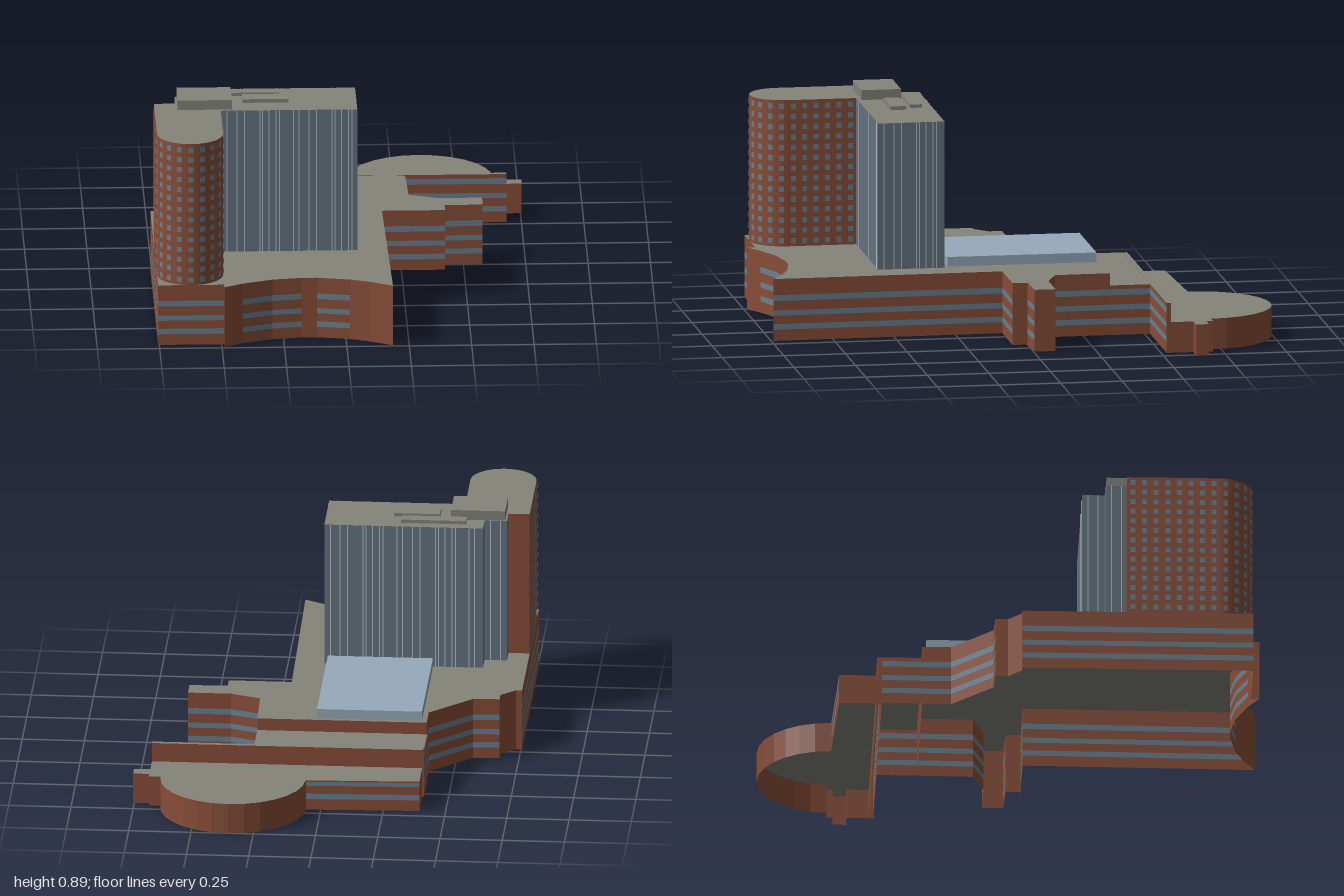
import * as THREE from 'three';

const mat = (name, color) => new THREE.MeshStandardMaterial({ name, color, side: THREE.DoubleSide });

// Upright rectangle standing on the plan line p -> q, pushed outward by off
function quad(out, p, q, y0, y1, off = 0) {
  const dx = q[0] - p[0], dz = q[1] - p[1], l = Math.hypot(dx, dz) || 1;
  const ox = -dz / l * off, oz = dx / l * off;
  const a = [p[0] + ox, y0, p[1] + oz], b = [q[0] + ox, y0, q[1] + oz];
  const c = [b[0], y1, b[2]], d = [a[0], y1, a[2]];
  out.push(...a, ...b, ...c, ...a, ...c, ...d);
}

function panelMesh(name, positions, material) {
  const g = new THREE.BufferGeometry();
  g.setAttribute('position', new THREE.Float32BufferAttribute(positions, 3));
  g.computeVertexNormals();
  const m = new THREE.Mesh(g, material);
  m.name = name;
  return m;
}

function roofMesh(name, pts, y, material) {
  const shape = new THREE.Shape(pts.map(([x, z]) => new THREE.Vector2(x, -z)));
  const m = new THREE.Mesh(new THREE.ShapeGeometry(shape).rotateX(-Math.PI / 2).translate(0, y, 0), material);
  m.name = name;
  return m;
}

export function createModel() {
  const brick = mat('brick', 0x874d38);
  const roof = mat('roof', 0x84847b);
  const glass = mat('curtainGlass', 0x66727e);
  const pane = mat('windowPane', 0x6a8092);
  const mullionMat = mat('mullion', 0xb4c0ca);
  const skyMat = mat('skylightGlass', 0x97aabb);
  const model = new THREE.Group();
  model.name = 'building';

  // Open-bottomed block; a third value of 1 marks a wall with ribbon windows
  const ribbons = [[0.045, 0.068], [0.102, 0.124], [0.162, 0.186]];
  function block(name, pts, h) {
    const group = new THREE.Group(), walls = [], bands = [];
    group.name = name;
    pts.forEach((p, i) => {
      const q = pts[(i + 1) % pts.length];
      let y = 0;
      if (p[2]) for (const [a, b] of ribbons) {
        if (a >= h) break;
        const top = Math.min(b, h - 0.006);
        quad(walls, p, q, y, a);
        quad(bands, p, q, a, top);
        y = top;
      }
      quad(walls, p, q, y, h);
    });
    group.add(panelMesh(name + 'Walls', walls, brick), roofMesh(name + 'Roof', pts, h, roof));
    if (bands.length) group.add(panelMesh(name + 'RibbonWindows', bands, pane));
    model.add(group);
  }

  // Podium with concave front
  const curve = [[-0.49], [-0.415, 1], [-0.295, 1], [-0.175], [-0.115, 1], [0.015], [0.1], [0.185, 1]]
    .map(([x, s]) => [x, 0.88 + 0.108 * ((x + 0.155) / 0.335) ** 2, s]);
  block('podium', [
    [-0.755, 0.955, 1], [-0.49, 0.955], ...curve,
    [0.172, 0.06, 1], [0.425, 0.06], [0.425, 0, 1], [0.578, -0.005], [0.578, -0.09, 1],
    [0.405, -0.09, 1], [0.285, -0.135, 1], [0.28, -0.36], [-0.4, -0.36, 1], [-0.4, -0.245, 1],
    [-0.565, -0.08, 1], [-0.672, -0.075], [-0.672, -0.025], [-0.73, 0.03], [-0.755, 0.03, 1],
  ], 0.252);

  // Middle terrace and the long thin wall behind it
  block('terrace', [[-0.402, -0.36], [0.28, -0.36, 1], [0.28, -0.522], [-0.402, -0.522, 1]], 0.202);
  block('longWall', [[-0.398, -0.522, 1], [0.69, -0.522], [0.69, -0.54], [-0.398, -0.54]], 0.203);

  // Low rear wing with half-round hall
  const hall = [];
  for (let i = 0; i <= 14; i++) {
    const a = Math.PI * i / 14;
    hall.push([0.352 + 0.292 * Math.cos(a), -0.71 - 0.29 * Math.sin(a), i === 14 ? 1 : 0]);
  }
  block('rearWing', [
    [-0.395, -0.54], [0.69, -0.54], [0.69, -0.63], [0.755, -0.63], [0.755, -0.683],
    [0.69, -0.683], [0.69, -0.71], ...hall, [-0.395, -0.693],
  ], 0.125);

  // Tower: brick wing with a rounded front end
  const base = 0.252, top = 0.848;
  const facade = new THREE.Path();
  facade.moveTo(-0.755, -0.45);
  facade.lineTo(-0.755, -0.823);
  facade.absarc(-0.6225, -0.823, 0.1325, Math.PI, Math.PI * 2, false);
  facade.lineTo(-0.49, -0.545);
  const round = facade.getPoints(18).map(v => [v.x, -v.y])
    .filter((p, i, a) => !i || Math.hypot(p[0] - a[i - 1][0], p[1] - a[i - 1][1]) > 1e-4);
  const brickWalls = [];
  for (let i = 0; i < round.length - 1; i++) quad(brickWalls, round[i], round[i + 1], base, top);
  quad(brickWalls, [-0.67, 0.45], [-0.755, 0.45], base, top);

  // Punched windows on the brick wing
  const windows = [], columns = 23, rows = 14;
  for (let c = 0; c < columns; c++) {
    const u = (c + 0.5) / columns, v = facade.getPointAt(u), t = facade.getTangentAt(u);
    const p = [v.x - t.x * 0.01, -v.y + t.y * 0.01], q = [v.x + t.x * 0.01, -v.y - t.y * 0.01];
    for (let r = 0; r < rows; r++) {
      const y = base + 0.012 + r * 0.0422;
      quad(windows, p, q, y, y + 0.022, 0.003);
    }
  }

  // Tower: glass slab with stepped rear corner and irregular mullions
  const slab = [[-0.49, 0.545], [0.057, 0.545], [0.057, 0.275], [-0.58, 0.275], [-0.58, 0.365], [-0.67, 0.365], [-0.67, 0.45]];
  const glassWalls = [], mullions = [], gaps = [0.022, 0.04, 0.03, 0.062, 0.012, 0.026, 0.028, 0.014, 0.056];
  for (let i = 0; i < slab.length - 1; i++) {
    const p = slab[i], q = slab[i + 1], l = Math.hypot(q[0] - p[0], q[1] - p[1]);
    quad(glassWalls, p, q, base, top);
    const at = d => [p[0] + (q[0] - p[0]) * d / l, p[1] + (q[1] - p[1]) * d / l];
    for (let d = gaps[0], k = 1; d < l - 0.01; d += gaps[k++ % gaps.length])
      quad(mullions, at(d), at(d + 0.004), base, top, 0.002);
  }
  const tower = new THREE.Group();
  tower.name = 'tower';
  tower.add(
    panelMesh('brickWing', brickWalls, brick),
    panelMesh('punchedWindows', windows, pane),
    panelMesh('glassSlab', glassWalls, glass),
    panelMesh('mullions', mullions, mullionMat),
    roofMesh('towerRoof', [...round, ...slab.slice(1)], top, roof),
  );
  model.add(tower);

  // Skylight and rooftop plant, given as x, z and y ranges
  const box = (name, x0, x1, z0, z1, y0, y1, material) => {
    const m = new THREE.Mesh(new THREE.BoxGeometry(x1 - x0, y1 - y0, z1 - z0), material);
    m.position.set((x0 + x1) / 2, (y0 + y1) / 2, (z0 + z1) / 2);
    m.name = name;
    model.add(m);
  };
  box('skylight', -0.38, 0.042, -0.343, 0.262, 0.253, 0.292, skyMat);
  box('plantRoom', -0.662, -0.445, 0.37, 0.53, top, 0.888, roof);
  box('rearRoofUnit', -0.51, -0.248, 0.317, 0.365, top, 0.862, roof);
  box('frontRoofUnit', -0.4, -0.215, 0.385, 0.45, top, 0.863, roof);

  return model;
}
